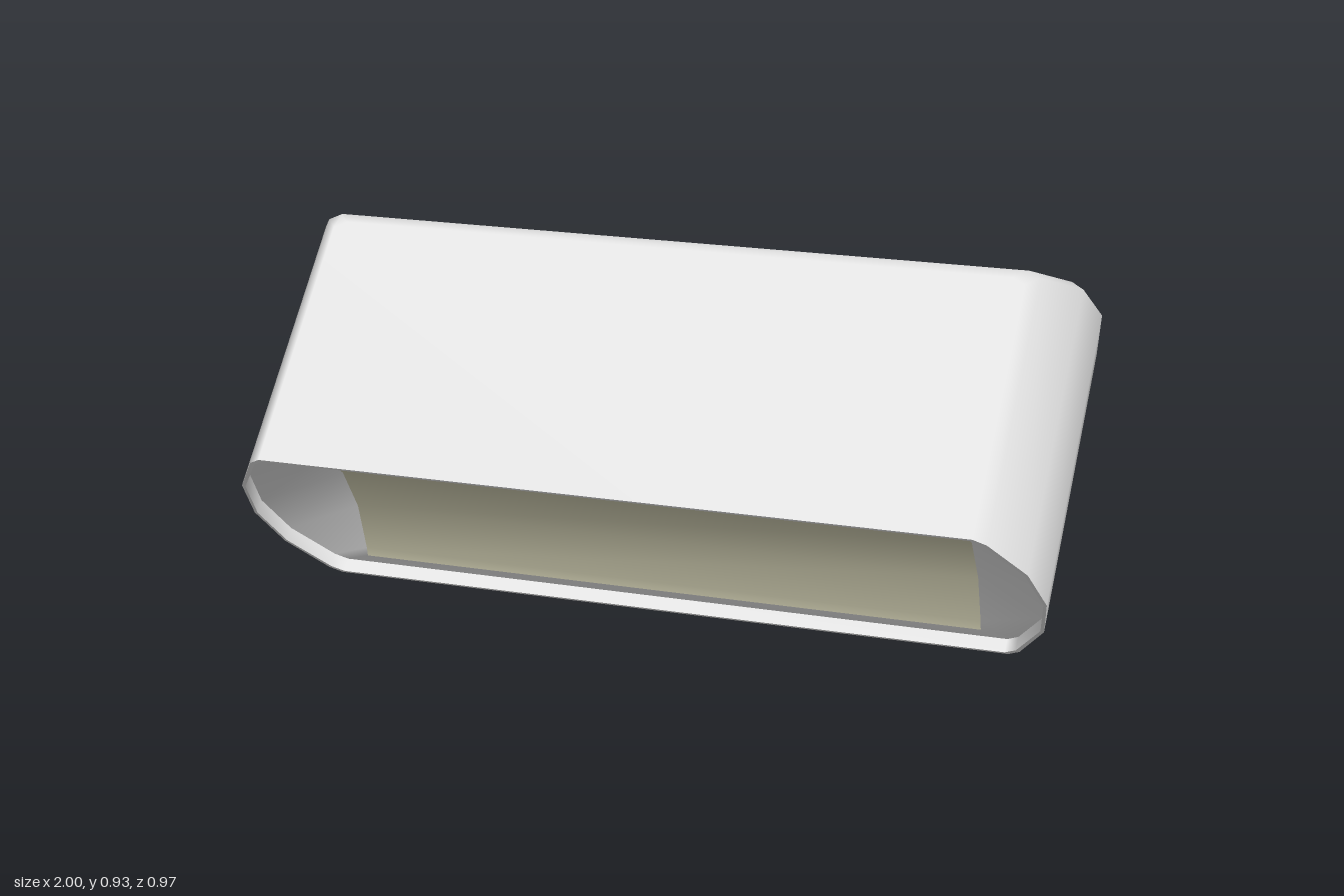
import * as THREE from 'three';

const housingMat = new THREE.MeshStandardMaterial({ color: 0xe7e7e7 });
housingMat.name = 'light grey housing';
const reflectorMat = new THREE.MeshStandardMaterial({ color: 0xd6d3b6 });
reflectorMat.name = 'pale yellow reflector';

// Housing rows from top to bottom: height, half width, depth of the arched back
const half = [[0.313, 0.87, -0.643], [0.291, 0.9, -0.677], [0.155, 0.975, -0.735], [0, 1, -0.757]];
const rows = [...half, ...half.slice(0, 3).reverse().map(([v, x, w]) => [-v, x, w])];
const n = rows.length;
const RIM = 0.03, DEEP = -0.005;

// Closed loop of points around the housing section: right side down, left side up
function ring(point) {
  const right = rows.map(point);
  const left = right.map(([x, y, z]) => [-x, y, z]).reverse();
  return [...right, ...left];
}

// Smooth skin over a list of point lines
function loft(lines, closed) {
  const m = lines[0].length, index = [];
  for (let k = 0; k < lines.length - 1; k++) {
    for (let i = 0; i < (closed ? m : m - 1); i++) {
      const j = (i + 1) % m, a = k * m, b = a + m;
      index.push(a + i, a + j, b + i, a + j, b + j, b + i);
    }
  }
  const g = new THREE.BufferGeometry();
  g.setAttribute('position', new THREE.Float32BufferAttribute(lines.flat(2), 3));
  g.setIndex(index);
  g.computeVertexNormals();
  return g;
}

function add(parent, name, geometry, material) {
  const mesh = new THREE.Mesh(geometry, material);
  mesh.name = name;
  parent.add(mesh);
  return mesh;
}

export function createModel() {
  const model = new THREE.Group();
  model.name = 'floodlight';

  // Lamp head, tilted so that the opening looks forward and down
  const head = new THREE.Group();
  head.name = 'lampHead';
  head.rotation.x = Math.PI / 4;
  head.position.set(0, 0.244, 0.244);
  model.add(head);

  // Arched back, blending into the flat top and bottom panels
  const column = (s) => rows.map(([v, x, w]) => [s * (x - 0.03), v, w]);
  const arch = loft([column(1), column(-1)], false);
  const archNormal = arch.attributes.normal;
  for (const i of [0, n]) archNormal.setXYZ(i, 0, 1, 0);
  for (const i of [n - 1, 2 * n - 1]) archNormal.setXYZ(i, 0, -1, 0);
  add(head, 'archedBack', arch, housingMat);

  // Outer wall with a narrow rounded edge that meets the back
  const outer = ring(([v, x]) => [x, v, RIM]);
  const wall = loft([
    outer,
    ring(([v, x, w]) => [x, v, w + 0.018]),
    ring(([v, x, w]) => [x - 0.03, v, w]),
  ], true);
  for (let i = 0; i < n; i++) {
    const z = archNormal.getZ(i), y = archNormal.getY(i);
    for (const k of [i, 2 * n - 1 - i]) wall.attributes.normal.setXYZ(4 * n + k, 0, y, z);
  }
  add(head, 'outerWall', wall, housingMat);

  // Thin rim and inner lip
  const lip = (z) => ring(([v, x]) => [x - 0.008, v * 0.975, z]);
  add(head, 'rim', loft([lip(RIM), outer], true), housingMat);
  add(head, 'innerLip', loft([lip(DEEP), lip(RIM)], true), housingMat);

  // Concave reflector trough, and the frame whose ends slope down into it
  const troughPoint = ([v]) => {
    const t = v / 0.313;
    return [0.8, 0.28 * t, DEEP - 0.005 - 0.095 * (1 - t * t)];
  };
  const right = rows.map(troughPoint);
  const left = right.map(([x, y, z]) => [-x, y, z]);
  add(head, 'reflectorFrame', loft([ring(troughPoint), lip(DEEP)], true), housingMat);
  add(head, 'reflector', loft([left, right], false), reflectorMat);

  // Two mounting hooks on the back
  const hookShape = new THREE.Shape([
    [0.308, 0.366], [0.345, 0.328], [0.44, 0.43], [0.44, 0.275],
    [0.485, 0.275], [0.485, 0.43], [0.45, 0.495],
  ].map(([a, y]) => new THREE.Vector2(a, y)));
  const hookGeometry = new THREE.ExtrudeGeometry(hookShape, { depth: 0.355, bevelEnabled: false });
  hookGeometry.rotateY(Math.PI / 2);
  // Shade the bent outer plate as one soft face
  const hookNormal = hookGeometry.attributes.normal;
  for (let i = 0; i < hookNormal.count; i++) {
    if (hookNormal.getZ(i) < -0.8 && hookNormal.getY(i) > -0.1) hookNormal.setXYZ(i, 0, 0.6, -0.8);
  }
  for (const [name, x] of [['hookLeft', 0.355], ['hookRight', -0.71]]) {
    add(model, name, hookGeometry, housingMat).position.x = x;
  }
  return model;
}
